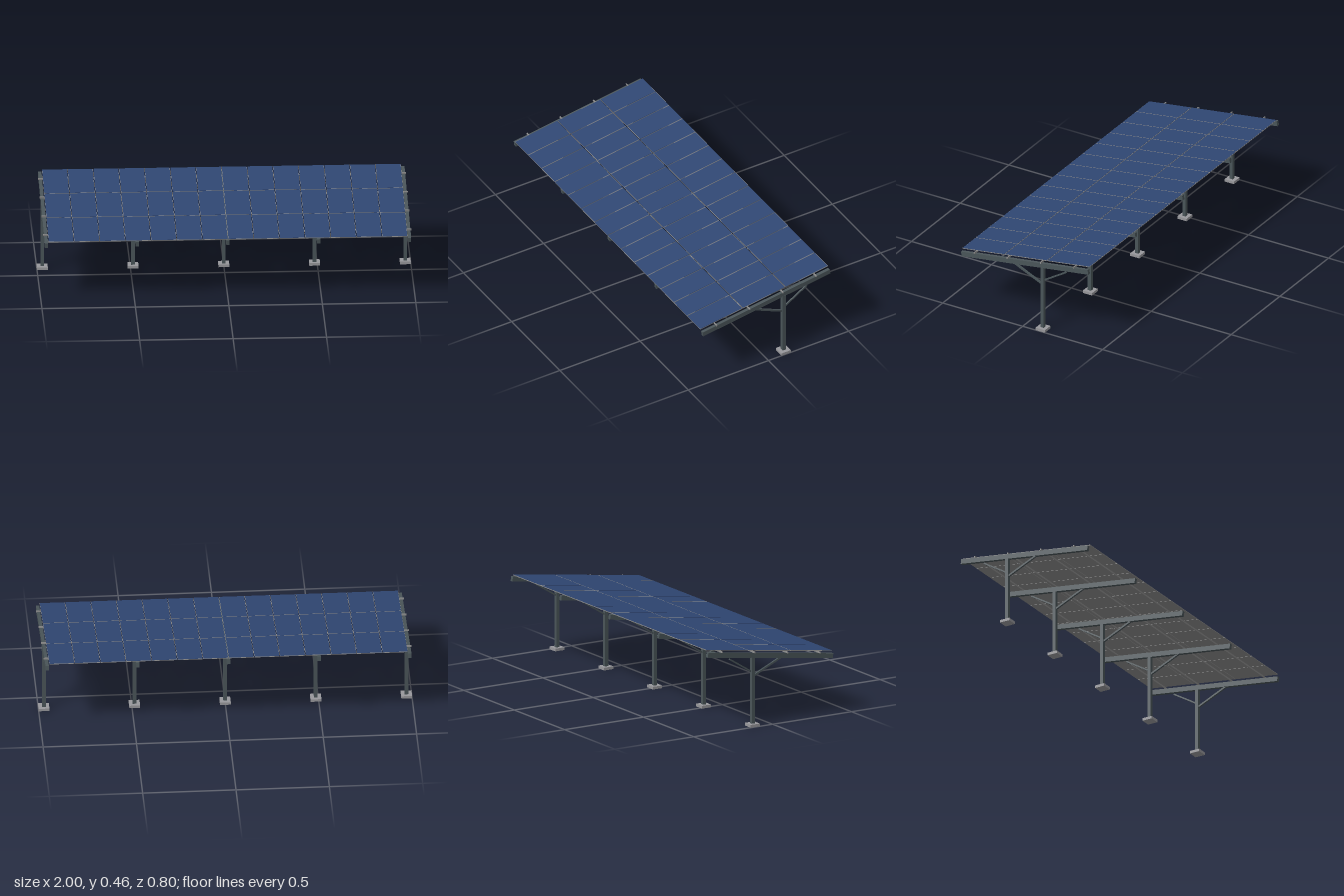
import * as THREE from 'three';

const mat = (name, color) => {
  const m = new THREE.MeshStandardMaterial({ color });
  m.name = name;
  return m;
};

export function createModel() {
  const steel = mat('dark steel', 0x4a5559);
  const metal = mat('light metal', 0x8c8c8c);
  const concrete = mat('footing grey', 0x98989c);
  const cell = mat('panel blue', 0x2f4672);

  const model = new THREE.Group();
  model.name = 'solarCanopy';

  const box = (parent, name, material, size, pos) => {
    const mesh = new THREE.Mesh(new THREE.BoxGeometry(...size), material);
    mesh.name = name;
    mesh.position.set(...pos);
    parent.add(mesh);
    return mesh;
  };

  // Square bar between two points in the (z, y) plane
  const strut = (parent, name, [z0, y0], [z1, y1], t) => {
    const len = Math.hypot(z1 - z0, y1 - y0);
    const bar = box(parent, name, steel, [t, t, len], [0, (y0 + y1) / 2, (z0 + z1) / 2]);
    bar.rotation.x = -Math.atan2(y1 - y0, z1 - z0);
  };

  // Tilted roof frame: beams, purlins and panels share its slope
  const roof = new THREE.Group();
  roof.name = 'roof';
  roof.position.y = 0.3745;
  roof.rotation.x = THREE.MathUtils.degToRad(8);
  model.add(roof);

  // Five supports: footing, post, two braces and a rafter
  for (let i = -2; i <= 2; i++) {
    const x = i * 0.4855;
    const support = new THREE.Group();
    support.name = 'support';
    support.position.x = x;
    model.add(support);
    box(support, 'footing', concrete, [0.058, 0.015, 0.058], [0, 0.0075, -0.11]);
    box(support, 'post', steel, [0.02, 0.365, 0.02], [0, 0.1975, -0.11]);
    strut(support, 'frontBrace', [0.068, 0.354], [-0.105, 0.276], 0.01);
    strut(support, 'backBrace', [-0.115, 0.3], [-0.256, 0.388], 0.008);
    box(roof, 'rafter', steel, [0.018, 0.027, 0.8], [x, 0, 0]);
  }

  // Four purlins across the rafters
  for (const s of [-0.313, -0.105, 0.105, 0.313]) {
    box(roof, 'purlin', metal, [1.97, 0.0085, 0.006], [0, 0.0175, s]);
  }

  // Panels: 14 columns by 3 rows, each a metal tray with a blue face
  const cols = 14, rows = 3, pitchX = 1.922 / cols, pitchZ = 0.808 / rows;
  for (let c = 0; c < cols; c++) {
    for (let r = 0; r < rows; r++) {
      const panel = new THREE.Group();
      panel.name = 'panel';
      panel.position.set((c - (cols - 1) / 2) * pitchX, 0.0235, (r - 1) * pitchZ);
      roof.add(panel);
      const w = pitchX - 0.003, d = pitchZ - 0.004;
      box(panel, 'panelFrame', metal, [w, 0.0035, d], [0, 0, 0]);
      box(panel, 'panelFace', cell, [w - 0.002, 0.001, d - 0.002], [0, 0.0018, 0]);
    }
  }
  return model;
}
